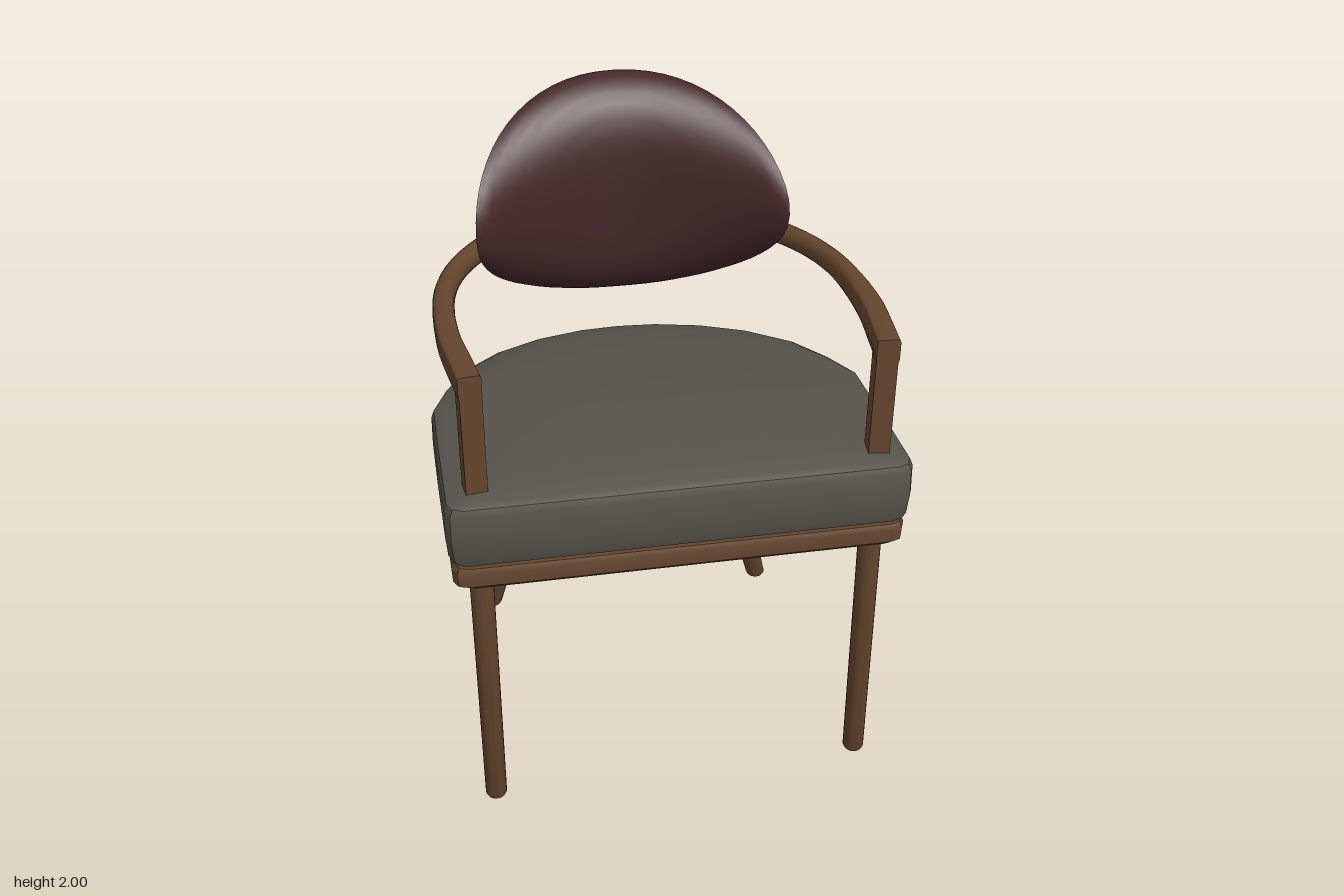
import * as THREE from 'three';
import { toCreasedNormals } from 'three/addons/utils/BufferGeometryUtils.js';

const wood = new THREE.MeshStandardMaterial({ color: 0x64452d });
wood.name = 'wood';
const fabric = new THREE.MeshStandardMaterial({ color: 0x56524c });
fabric.name = 'grey fabric';
const maroon = new THREE.MeshStandardMaterial({ color: 0x45262a });
maroon.name = 'maroon fabric';

// Skin closed rings of [x, y, z] points, each ring counterclockwise about the loft direction
function loft(rings, crease = 0.6) {
  const n = rings[0].length;
  const index = [];
  for (let i = 0; i < rings.length - 1; i++) {
    for (let j = 0; j < n; j++) {
      const k = (j + 1) % n;
      const a = i * n + j, b = i * n + k, c = b + n, d = a + n;
      index.push(a, b, c, a, c, d);
    }
  }
  const geo = new THREE.BufferGeometry();
  geo.setAttribute('position', new THREE.Float32BufferAttribute(rings.flat(2), 3));
  geo.setIndex(index);
  return toCreasedNormals(geo, crease);
}

const circle = (n, f) => Array.from({ length: n }, (_, i) => f((i / n) * Math.PI * 2));
// Signed power, for superellipse sections
const spow = (v, e) => Math.sign(v) * Math.abs(v) ** e;

// D-shaped seat outline as [x, z]: straight front, round back
const half = [
  [0, 0.65], [0.3, 0.65], [0.65, 0.65], [0.682, 0.638], [0.697, 0.605], [0.7, 0.3], [0.7, 0.05],
  [0.65, -0.1], [0.575, -0.27], [0.45, -0.42], [0.3, -0.525], [0.14, -0.585], [0, -0.6],
];
const outline = [...half, ...half.slice(1, -1).reverse().map(([x, z]) => [-x, z])];

// Seat slopes down to the back
const seatBottom = (z) => 0.909 + 0.048 * z;
const seatTop = (z) => 1.153 - 0.145 * Math.max(0, 0.1 - z) ** 1.3;

// One ring of the outline, scaled about the seat centre, at a height given by yOf(z)
const seatRing = (s, yOf) => outline.map(([x, z]) => {
  const zs = 0.03 + (z - 0.03) * s;
  return [x * s, yOf(zs), zs];
});

function cushionGeometry() {
  const levels = [
    [0, 0, 0], [0.955, 0, 0], [0.98, 0.04, 0], [0.993, 0.15, 0], [1, 0.45, 0], [0.997, 0.85, 0],
    [0.985, 0.95, 0], [0.95, 1, 0], [0.8, 1, 0.009], [0.5, 1, 0.016], [0.25, 1, 0.018], [0, 1, 0.018],
  ];
  return loft(levels.map(([s, t, crown]) =>
    seatRing(s, (z) => THREE.MathUtils.lerp(seatBottom(z), seatTop(z), t) + crown)));
}

function seatFrameGeometry() {
  const levels = [[0, -0.082], [0.955, -0.082], [0.982, -0.066], [0.985, -0.02], [0.975, -0.004], [0, -0.004]];
  return loft(levels.map(([s, dy]) => seatRing(s, (z) => seatBottom(z) + dy)));
}

// Oval pad wrapped on a vertical cylinder, thick in the middle and thin at the rim
function backPadGeometry() {
  const R = 0.535, cz = -0.063;
  const ring = (rho, thick) => circle(64, (a) => {
    const x = 0.52 * rho * spow(Math.cos(a), 0.92);
    const y = 1.613 + 0.387 * rho * spow(Math.sin(a), 0.92);
    const th = Math.asin(x / R), r = R - thick;
    return [r * Math.sin(th), y, cz - r * Math.cos(th)];
  });
  const rho = [0, 0.2, 0.4, 0.55, 0.7, 0.8, 0.88, 0.94, 0.975, 0.993, 1];
  const back = rho.map((p) => ring(p, 0.012 * p ** 30));
  const front = rho.slice(0, -1).reverse().map((p) => ring(p, 0.012 + 0.158 * (1 - p ** 4) ** 0.6));
  return loft([...back, ...front], 1.1);
}

// Bent arm rail: round at the back, squarer toward the front ends
function armRailGeometry() {
  const side = [
    [0.597, 0.578], [0.613, 0.46], [0.633, 0.3], [0.636, 0.1], [0.62, -0.06],
    [0.57, -0.22], [0.475, -0.375], [0.36, -0.488], [0.2, -0.58],
  ];
  const pts = [...side, [0, -0.617], ...side.slice().reverse().map(([x, z]) => [-x, z])];
  const curve = new THREE.CatmullRomCurve3(pts.map(([x, z]) => new THREE.Vector3(x, 1.496, z)));
  const up = new THREE.Vector3(0, 1, 0);
  const section = (t, s) => {
    const p = curve.getPointAt(t);
    const n = new THREE.Vector3().crossVectors(up, curve.getTangentAt(t));
    const square = THREE.MathUtils.smoothstep(p.z, -0.2, 0.5);
    const e = 1 - 0.75 * square;
    return circle(20, (a) => {
      const u = spow(Math.cos(a), e) * (0.033 + 0.001 * square) * s;
      const v = spow(Math.sin(a), e) * 0.038 * s;
      return [p.x + n.x * u, p.y + v, p.z + n.z * u];
    });
  };
  const rings = [section(0, 0)];
  for (let i = 0; i <= 60; i++) rings.push(section(i / 60, 1));
  rings.push(section(1, 0));
  return loft(rings, 0.7);
}

// Slanted leg with level ends; foot and head are [x, y, z, radius]
function legGeometry(foot, head) {
  const ring = ([x, y, z], r) => circle(20, (a) => [x + r * Math.sin(a), y, z + r * Math.cos(a)]);
  const lip = foot.map((v, i) => (i === 1 ? 0.01 : v));
  return loft([ring(foot, 0), ring(foot, foot[3] - 0.005), ring(lip, foot[3]), ring(head, head[3]), ring(head, 0)]);
}

export function createModel() {
  const chair = new THREE.Group();
  chair.name = 'armchair';
  const add = (name, geo, mat) => {
    const mesh = new THREE.Mesh(geo, mat);
    mesh.name = name;
    chair.add(mesh);
    return mesh;
  };

  add('seatCushion', cushionGeometry(), fabric);
  add('seatFrame', seatFrameGeometry(), wood);
  add('backPad', backPadGeometry(), maroon);
  add('armRail', armRailGeometry(), wood);

  // Legs and arm posts, mirrored left and right
  for (const [s, label] of [[1, 'left'], [-1, 'right']]) {
    add(label + 'FrontLeg', legGeometry([s * 0.6, 0, 0.575, 0.034], [s * 0.6, 0.88, 0.553, 0.036]), wood);
    add(label + 'BackLeg', legGeometry([s * 0.516, 0, -0.44, 0.035], [s * 0.305, 0.84, -0.373, 0.063]), wood);
    const post = add(label + 'ArmPost', new THREE.BoxGeometry(0.064, 0.38, 0.062), wood);
    post.position.set(s * 0.6, 1.33, 0.546);
    post.rotation.y = -s * 0.12;
  }
  return chair;
}
